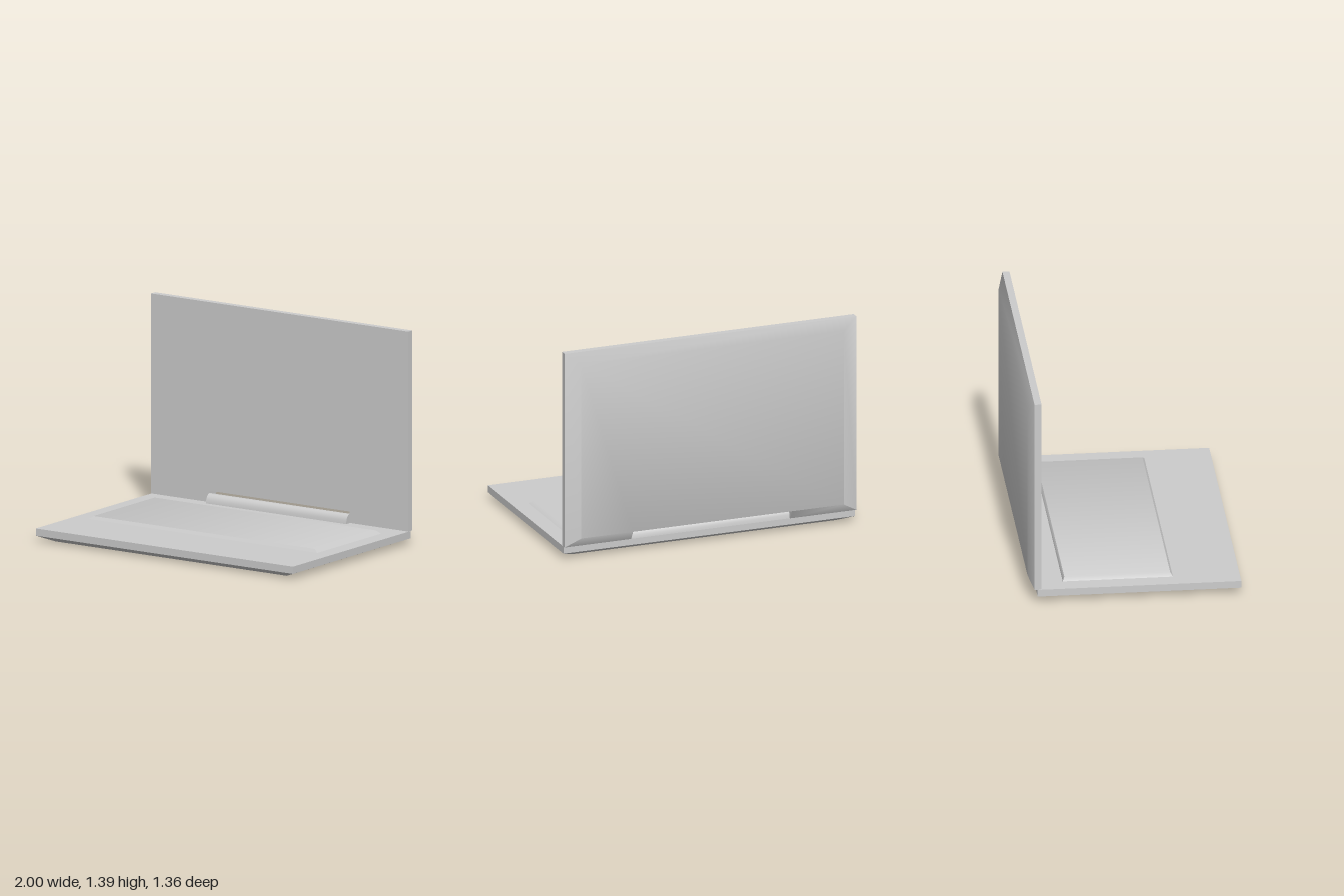
import * as THREE from 'three';
import { toCreasedNormals } from 'three/addons/utils/BufferGeometryUtils.js';

const material = new THREE.MeshStandardMaterial({ color: 0xcccccc });

// Joins counter-clockwise outlines stacked along z into a closed solid.
function loft(layers) {
  const loops = layers.map(([z, points]) => points.map(([x, y]) => new THREE.Vector3(x, y, z)));
  const positions = [];
  const tri = (a, b, c) => {
    if (new THREE.Triangle(a, b, c).getArea() < 1e-8) return;
    for (const p of [a, b, c]) positions.push(p.x, p.y, p.z);
  };
  const n = loops[0].length;
  for (let i = 0; i < loops.length - 1; i++) {
    for (let j = 0; j < n; j++) {
      const k = (j + 1) % n;
      tri(loops[i][j], loops[i][k], loops[i + 1][k]);
      tri(loops[i][j], loops[i + 1][k], loops[i + 1][j]);
    }
  }
  const cap = (loop, flip) => {
    const flat = loop.map((p) => new THREE.Vector2(p.x, p.y));
    for (const [a, b, c] of THREE.ShapeUtils.triangulateShape(flat, [])) {
      if (flip) tri(loop[a], loop[c], loop[b]);
      else tri(loop[a], loop[b], loop[c]);
    }
  };
  cap(loops[0], true);
  cap(loops[loops.length - 1], false);
  const geometry = new THREE.BufferGeometry();
  geometry.setAttribute('position', new THREE.Float32BufferAttribute(positions, 3));
  return toCreasedNormals(geometry, 0.6);
}

// Rectangle outline; back and front are z positions once laid flat.
const rect = (halfX, back, front) => [[-halfX, -front], [halfX, -front], [halfX, -back], [-halfX, -back]];

// Lid outline with a hinge notch in the lower edge.
const HINGE = 0.545;
const lidOutline = (halfX, bottom, top, notch) => [
  [-halfX, bottom], [-HINGE, bottom], [-HINGE, notch], [HINGE, notch],
  [HINGE, bottom], [halfX, bottom], [halfX, top], [-halfX, top],
];

export function createModel() {
  const group = new THREE.Group();
  const add = (name, geometry) => {
    const mesh = new THREE.Mesh(geometry, material);
    mesh.name = name;
    group.add(mesh);
  };

  // Base slab with a tapered underside
  add('base', loft([
    [0, rect(0.9, -0.55, 0.605)],
    [0.038, rect(1, -0.625, 0.68)],
    [0.085, rect(1, -0.625, 0.68)],
  ]).rotateX(-Math.PI / 2));

  // Raised keyboard plate with sloping edges
  add('keyboardPlate', loft([
    [0.08, rect(0.89, -0.453, 0.253)],
    [0.085, rect(0.89, -0.453, 0.253)],
    [0.105, rect(0.86, -0.44, 0.238)],
  ]).rotateX(-Math.PI / 2));

  // Upright lid, bevelled at the back and notched for the hinge
  add('lid', loft([
    [-0.68, lidOutline(0.9, 0.145, 1.315, 0.145)],
    [-0.645, lidOutline(1, 0.086, 1.39, 0.152)],
    [-0.6, lidOutline(1, 0.086, 1.39, 0.16)],
  ]));

  // Rounded hinge bar sitting in the notch
  const profile = new THREE.Shape();
  profile.absellipse(0, 0, 0.04, 0.061, 0, Math.PI, false, 0);
  profile.closePath();
  const hinge = new THREE.ExtrudeGeometry(profile, { depth: 2 * HINGE, bevelEnabled: false, curveSegments: 4 });
  hinge.translate(0, 0, -HINGE).rotateY(Math.PI / 2).translate(0, 0.085, -0.6);
  add('hinge', toCreasedNormals(hinge, 0.6));

  return group;
}
